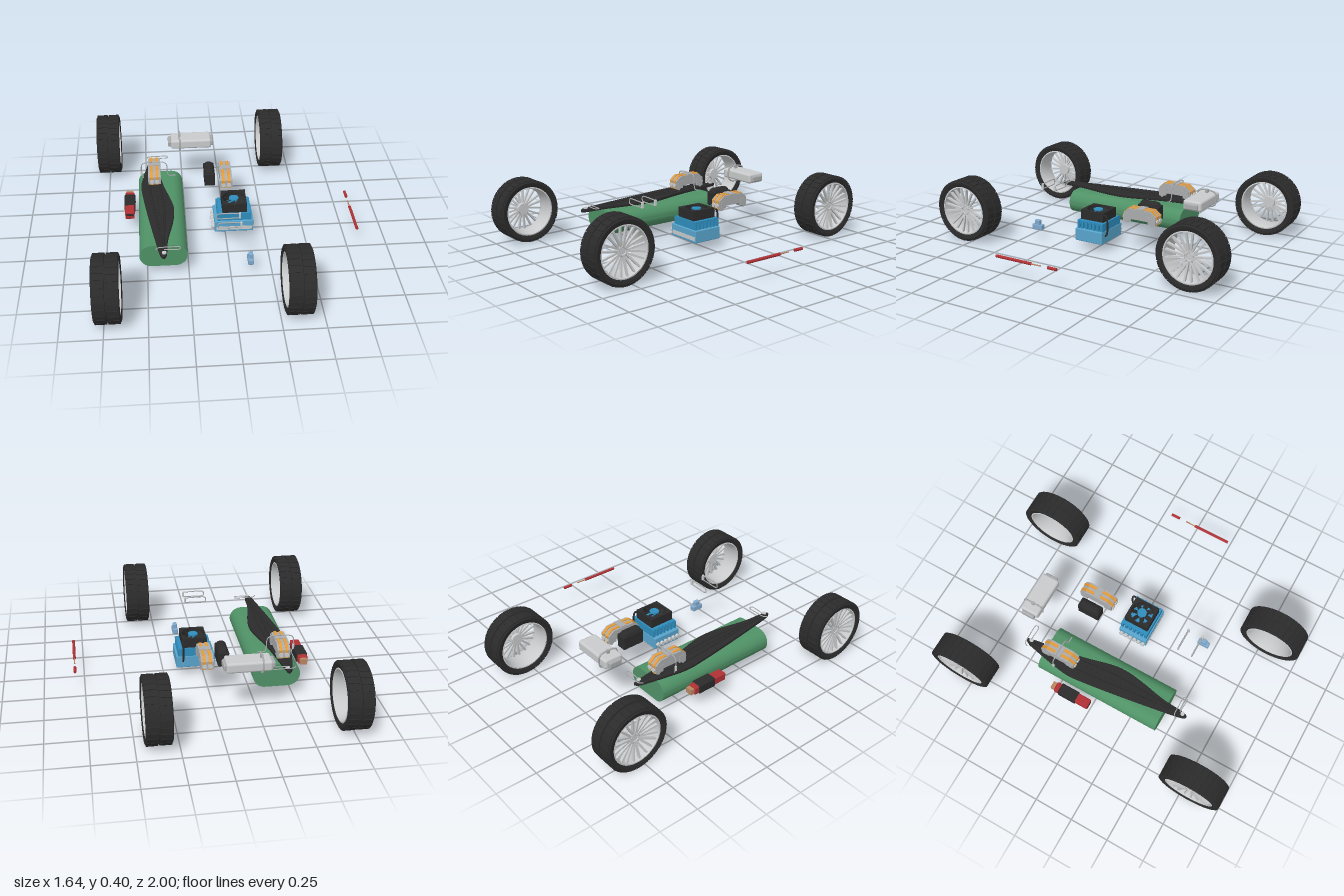
import * as THREE from 'three';
import { toCreasedNormals } from 'three/addons/utils/BufferGeometryUtils.js';
import { RoundedBoxGeometry } from 'three/addons/geometries/RoundedBoxGeometry.js';

const paint = (name, color, side = THREE.FrontSide) => {
  const m = new THREE.MeshStandardMaterial({ color, side });
  m.name = name;
  return m;
};

export function createModel() {
  const black = paint('black rubber', 0x2b2b2c);
  const silver = paint('silver', 0xc8cacb, THREE.DoubleSide);
  const grey = paint('grey metal', 0xa9abac);
  const green = paint('green', 0x4f9166);
  const orange = paint('orange', 0xe39a3a);
  const blue = paint('blue', 0x2e8dbd);
  const paleBlue = paint('pale blue', 0x7fa9cc);
  const skyBlue = paint('sky blue', 0x58a4cc);
  const red = paint('red', 0xb03034);
  const tan = paint('tan', 0xb98560);

  const root = new THREE.Group();
  const group = (name, x = 0, y = 0, z = 0) => {
    const g = new THREE.Group();
    g.name = name;
    g.position.set(x, y, z);
    root.add(g);
    return g;
  };
  const add = (parent, name, geo, mat, x = 0, y = 0, z = 0) => {
    const m = new THREE.Mesh(geo, mat);
    m.name = name;
    m.position.set(x, y, z);
    parent.add(m);
    return m;
  };
  // box given by its limits on each axis; r rounds the edges
  const box = (parent, name, mat, x0, x1, y0, y1, z0, z1, r = 0) => {
    const s = [x1 - x0, y1 - y0, z1 - z0];
    const geo = r ? new RoundedBoxGeometry(...s, 3, r) : new THREE.BoxGeometry(...s);
    return add(parent, name, geo, mat, (x0 + x1) / 2, (y0 + y1) / 2, (z0 + z1) / 2);
  };
  const cylX = (r, len, n = 20) => new THREE.CylinderGeometry(r, r, len, n).rotateZ(-Math.PI / 2);
  const cylZ = (r, len, n = 16) => new THREE.CylinderGeometry(r, r, len, n).rotateX(Math.PI / 2);
  const latheX = (pts, n = 64) => toCreasedNormals(new THREE.LatheGeometry(
    pts.map(p => new THREE.Vector2(p[0], p[1])), n).rotateZ(-Math.PI / 2), 0.5);
  const wire = (pts, r, closed = false, tension = 0.5) => new THREE.TubeGeometry(
    new THREE.CatmullRomCurve3(pts.map(p => new THREE.Vector3(...p)), closed, 'catmullrom', tension), 60, r, 8, closed);

  // Wheels, built with the spoked face towards +x
  const tyreGeo = latheX([[0.153, -0.066], [0.17, -0.075], [0.187, -0.077], [0.194, -0.07], [0.196, -0.005],
    [0.189, -0.004], [0.189, 0.004], [0.196, 0.005], [0.194, 0.07], [0.187, 0.077], [0.17, 0.075], [0.153, 0.066]]);
  const barrelGeo = latheX([[0.158, -0.07], [0.15, -0.072], [0.145, -0.06], [0.14, -0.03], [0.138, 0.03],
    [0.147, 0.062], [0.15, 0.071], [0.158, 0.07]]);
  const treadGeo = new THREE.BoxGeometry(0.066, 0.008, 0.037);
  const spokeGeo = new THREE.BoxGeometry(0.016, 0.122, 0.011);
  const hubGeo = latheX([[0.0001, 0.015], [0.036, 0.015], [0.038, 0.042], [0.03, 0.05], [0.022, 0.05],
    [0.02, 0.045], [0.0001, 0.045]], 32);
  for (const [x, z, face] of [[-0.723, 0.8, -1], [-0.745, -0.8, -1], [0.353, 0.8, 1], [0.37, -0.8, 1]]) {
    const w = group('wheel', x, 0.2, z);
    if (face < 0) w.rotation.y = Math.PI;
    add(w, 'tyre', tyreGeo, black);
    add(w, 'rimBarrel', barrelGeo, silver);
    add(w, 'hub', hubGeo, silver);
    for (let i = 0; i < 30; i++) for (const s of [-1, 1]) {
      const a = (i + (s > 0 ? 0.25 : 0)) / 30 * Math.PI * 2;
      const t = add(w, 'treadBlock', treadGeo, black, s * 0.038, Math.cos(a) * 0.1955, Math.sin(a) * 0.1955);
      t.rotation.x = a;
    }
    for (let i = 0; i < 10; i++) for (const s of [-1, 1]) {
      const arm = new THREE.Group();
      arm.rotation.x = i / 10 * Math.PI * 2;
      w.add(arm);
      const p = add(arm, 'spoke', spokeGeo, silver, 0.048, 0.087, s * 0.014);
      p.rotation.set(s * 0.12, 0, -0.13);
    }
    for (let i = 0; i < 5; i++) {
      const a = i / 5 * Math.PI * 2;
      add(w, 'wheelBolt', cylX(0.004, 0.006, 8), grey, 0.051, Math.cos(a) * 0.027, Math.sin(a) * 0.027);
    }
  }

  // Green tank with a stadium section
  const section = new THREE.Shape();
  section.moveTo(-0.07, -0.074);
  section.lineTo(0.07, -0.074);
  section.absarc(0.07, 0, 0.074, -Math.PI / 2, Math.PI / 2, false);
  section.lineTo(-0.07, 0.074);
  section.absarc(-0.07, 0, 0.074, Math.PI / 2, Math.PI * 1.5, false);
  add(root, 'tank', toCreasedNormals(new THREE.ExtrudeGeometry(section,
    { depth: 0.835, bevelEnabled: false, curveSegments: 24 }), 0.5), green, -0.4, 0.132, -0.4);

  // Black tapering blade lying on the tank
  const blade = group('blade');
  const outline = [[-0.47, -0.5], [-0.45, -0.53], [-0.43, -0.5], [-0.386, -0.21], [-0.335, 0], [-0.323, 0.1],
    [-0.335, 0.22], [-0.37, 0.4], [-0.38, 0.54], [-0.4, 0.575], [-0.42, 0.54], [-0.445, 0.4],
    [-0.487, 0.13], [-0.515, -0.08], [-0.524, -0.2], [-0.505, -0.33]];
  const bladeShape = new THREE.Shape(new THREE.SplineCurve(
    [...outline, outline[0]].map(p => new THREE.Vector2(p[0], -p[1]))).getPoints(80));
  add(blade, 'bladePlate', new THREE.ExtrudeGeometry(bladeShape, { depth: 0.014, bevelThickness: 0.003,
    bevelSize: 0.003, bevelSegments: 1, bevelOffset: -0.003 }).rotateX(-Math.PI / 2), black, 0, 0.214, 0);
  for (const s of [-1, 1]) add(blade, 'ridge', wire([[-0.45, 0.23, -0.5], [-0.44 + s * 0.03, 0.232, -0.2],
    [-0.415 + s * 0.03, 0.232, 0.1], [-0.4, 0.23, 0.54]], 0.007), black);
  for (let i = 0; i < 16; i++) box(blade, 'stud', black, -0.43 + i * 0.001, -0.418 + i * 0.001,
    0.228, 0.238, -0.13 + i * 0.034, -0.112 + i * 0.034);

  // Flat wire clips and end bolts
  for (const [x, z, s] of [[-0.44, -0.5, -1], [-0.395, 0.545, 1]]) {
    add(blade, 'endBolt', new THREE.CylinderGeometry(0.013, 0.013, 0.008, 16), silver, x, 0.237, z);
    const zc = z - s * 0.03 * (s > 0 ? 1 : 0) - (s < 0 ? 0.015 : 0);
    add(blade, 'wireClip', wire([[x - 0.05, 0.245, zc + 0.012], [x - 0.03, 0.245, zc - 0.01], [x + 0.03, 0.245, zc - 0.012],
      [x + 0.085, 0.245, zc - 0.012], [x + 0.095, 0.245, zc], [x + 0.08, 0.245, zc + 0.015], [x, 0.245, zc + 0.012]], 0.003), grey);
  }

  // Two calipers with orange strips
  const profile = (o, low) => {
    const s = new THREE.Shape();
    [[-0.112 - o, 0.012], [-0.112 - o, 0.065], [-0.075 - o, 0.095 + o], [0.075 + o, 0.095 + o], [0.112 + o, 0.065],
      [0.112 + o, 0.012], [0.09, 0], [0.06, low], [-0.06, low], [-0.09, 0]]
      .forEach((p, i) => (i ? s.lineTo(...p) : s.moveTo(...p)));
    return s;
  };
  const slab = (o, low, width) => new THREE.ExtrudeGeometry(profile(o, low),
    { depth: width, bevelEnabled: false }).translate(0, 0, -width / 2).rotateY(Math.PI / 2);
  for (const [x, y, z] of [[-0.438, 0.235, -0.288], [0.023, 0.19, -0.283]]) {
    const c = group('caliper', x, y, z);
    add(c, 'caliperBody', slab(0, 0.03, 0.078), grey);
    for (const s of [-1, 1]) {
      add(c, 'orangeStrip', slab(0.004, 0.05, 0.018), orange, s * 0.018, 0, 0);
      for (const e of [-1, 1]) {
        add(c, 'piston', cylZ(0.014, 0.01), silver, s * 0.017, 0.035, e * 0.116);
        box(c, 'sideLug', grey, s * 0.036 - 0.005, s * 0.036 + 0.005, 0.015, 0.06, e * 0.08 - 0.02, e * 0.08 + 0.02);
      }
    }
    box(c, 'bridge', grey, -0.036, 0.036, 0.08, 0.101, -0.022, 0.022);
  }

  // Wire hoop over the blade
  const hoop = group('wireHoop', 0, 0, -0.29);
  add(hoop, 'hoopWire', wire([[-0.505, 0.222, 0], [-0.52, 0.26, 0], [-0.518, 0.325, 0], [-0.49, 0.342, 0], [-0.435, 0.345, 0],
    [-0.38, 0.342, 0], [-0.357, 0.32, 0], [-0.352, 0.26, 0], [-0.34, 0.24, 0], [-0.3, 0.24, 0]], 0.0035), grey);
  add(hoop, 'hoopSleeve', new THREE.CylinderGeometry(0.007, 0.007, 0.03, 12), silver, -0.521, 0.265, 0);

  // Black canister with an end plate
  const can = group('canister');
  box(can, 'canisterBody', black, -0.113, -0.05, 0.2, 0.308, -0.352, -0.213, 0.028);
  box(can, 'canisterPlate', black, -0.115, -0.047, 0.195, 0.285, -0.357, -0.21, 0.006);

  // Silver muffler with caps and a strap
  const muffler = group('muffler');
  box(muffler, 'mufflerBody', silver, -0.32, -0.05, 0.298, 0.362, -0.643, -0.52, 0.015);
  box(muffler, 'mufflerCap', grey, -0.34, -0.315, 0.307, 0.348, -0.625, -0.538, 0.01);
  box(muffler, 'mufflerCap', grey, -0.055, -0.035, 0.307, 0.348, -0.625, -0.538, 0.01);
  const sx = -0.262;
  add(muffler, 'strap', wire([[sx, 0.3, -0.642], [sx, 0.36, -0.642], [sx, 0.378, -0.61], [sx, 0.378, -0.55],
    [sx, 0.36, -0.52], [sx, 0.3, -0.52], [sx, 0.278, -0.55], [sx, 0.278, -0.61]], 0.005, true), grey);
  box(muffler, 'strapBuckle', grey, sx - 0.008, sx + 0.008, 0.355, 0.385, -0.59, -0.572);

  // Upright hairpins
  for (const z of [0.335, 0.43]) {
    const pin = group('hairpin', 0, 0, z);
    add(pin, 'hairpinWire', wire([[0.06, 0.345, 0], [-0.05, 0.347, 0], [-0.072, 0.338, 0], [-0.072, 0.318, 0],
      [-0.05, 0.311, 0], [0.06, 0.313, 0]], 0.0035), grey);
    box(pin, 'hairpinHead', silver, 0.058, 0.07, 0.311, 0.349, -0.008, 0.008, 0.003);
  }

  // Blue power unit with fins and fan
  const unit = group('powerUnit');
  box(unit, 'unitBase', skyBlue, -0.072, 0.172, 0.055, 0.135, -0.082, 0.112, 0.006);
  box(unit, 'frontStrip', silver, -0.06, 0.165, 0.07, 0.095, 0.108, 0.114);
  box(unit, 'unitCore', blue, -0.035, 0.145, 0.13, 0.175, -0.07, 0.095);
  box(unit, 'unitLid', blue, -0.045, 0.155, 0.172, 0.187, -0.08, 0.105);
  for (let i = 0; i < 7; i++) {
    const z = -0.072 + i * 0.028;
    box(unit, 'fin', blue, -0.052, 0.16, 0.13, 0.183, z - 0.008, z + 0.008);
  }
  for (let i = 0; i < 6; i++) {
    add(unit, 'terminal', cylX(0.013, 0.024, 14), silver, -0.078, 0.09, -0.062 + i * 0.031);
  }
  const frame = new THREE.Shape([[-0.077, -0.082], [0.077, -0.082], [0.077, 0.082], [-0.077, 0.082]]
    .map(p => new THREE.Vector2(...p)));
  frame.holes.push(new THREE.Path().absarc(0, 0, 0.07, 0, Math.PI * 2, true));
  const fan = group('fan', 0.055, 0.187, 0.013);
  add(fan, 'fanFrame', new THREE.ExtrudeGeometry(frame, { depth: 0.061, bevelEnabled: false, curveSegments: 24 })
    .rotateX(-Math.PI / 2), black);
  add(fan, 'fanHub', new THREE.CylinderGeometry(0.03, 0.03, 0.058, 24), blue, 0, 0.03, 0);
  for (let i = 0; i < 7; i++) {
    const a = i / 7 * Math.PI * 2;
    const b = add(fan, 'fanBlade', new THREE.BoxGeometry(0.042, 0.004, 0.03), black,
      Math.cos(a) * 0.047, 0.045, -Math.sin(a) * 0.047);
    b.rotation.set(0.5, a, 0, 'YXZ');
  }
  add(unit, 'cable', wire([[0.13, 0.235, -0.07], [0.13, 0.23, -0.09], [0.13, 0.18, -0.098],
    [0.13, 0.12, -0.095], [0.13, 0.1, -0.08]], 0.006), black);

  // Small pale blue fitting
  const fitting = group('fitting');
  box(fitting, 'fittingBase', paleBlue, 0.105, 0.14, 0.055, 0.09, 0.392, 0.468, 0.005);
  box(fitting, 'fittingTop', paleBlue, 0.109, 0.137, 0.08, 0.12, 0.412, 0.448, 0.005);

  // Red pack with black sleeve and tan end
  const pack = group('redPack');
  box(pack, 'packBody', red, -0.632, -0.573, 0.108, 0.158, -0.235, 0.005, 0.008);
  box(pack, 'packSleeve', black, -0.637, -0.567, 0.104, 0.162, -0.205, -0.08, 0.008);
  box(pack, 'packEnd', tan, -0.624, -0.581, 0.115, 0.15, -0.26, -0.23);
  box(pack, 'packSlot', black, -0.625, -0.58, 0.134, 0.148, 0.002, 0.007);

  // Thin red rod in two pieces
  const rod = group('rod', 0.805, 0.128, 0);
  add(rod, 'rodHandle', cylZ(0.009, 0.245), red, 0, 0, 0.1225);
  add(rod, 'rodShaft', cylZ(0.004, 0.067, 10), tan, 0, 0, -0.033);
  add(rod, 'rodCap', cylZ(0.009, 0.06), red, 0, 0, -0.145);

  return root;
}
